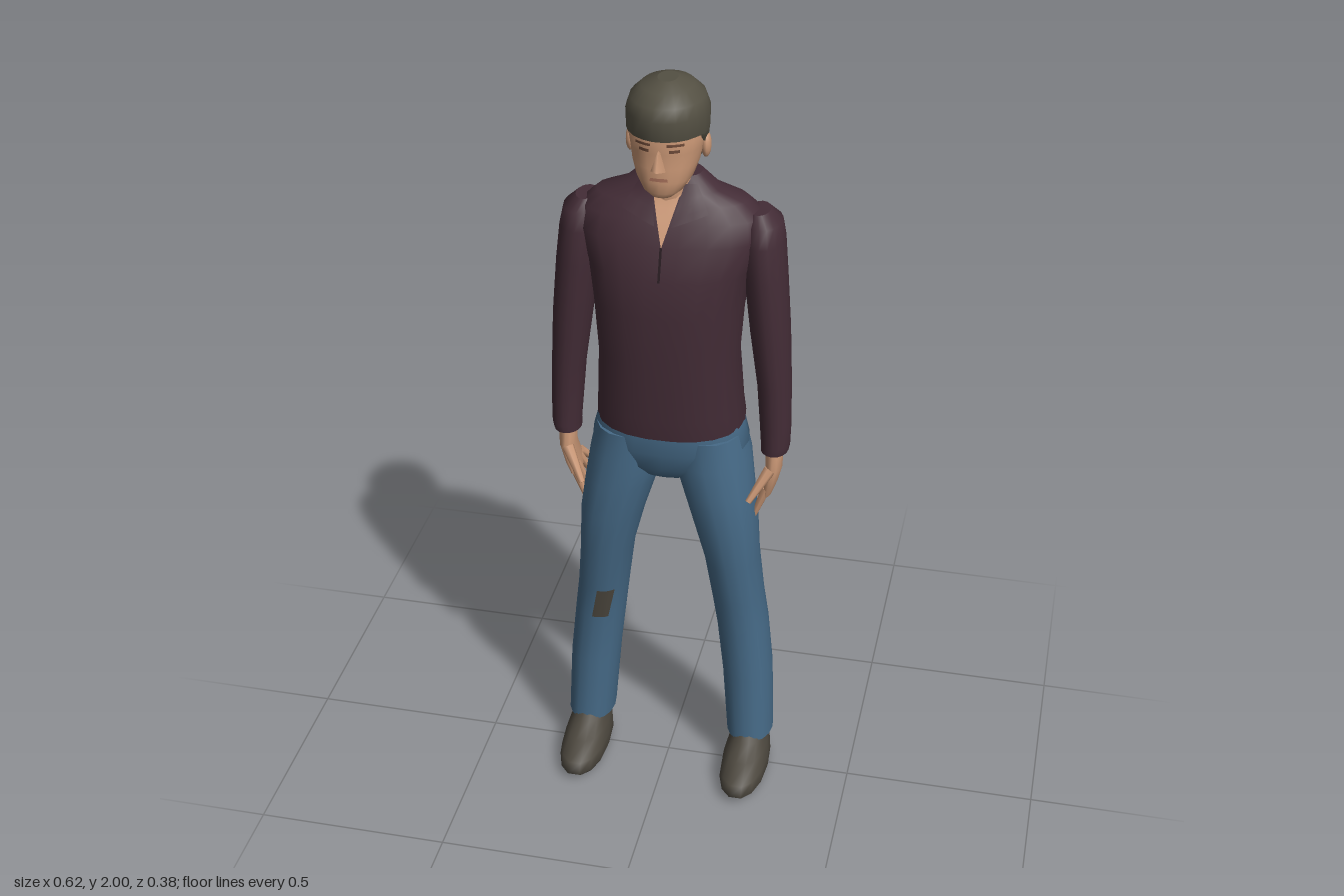
import * as THREE from 'three';

const mat = (name, color) => Object.assign(new THREE.MeshStandardMaterial({ color }), { name });

// Closed skin through horizontal elliptical rings: [y, centreX, halfWidth, frontZ, backZ], bottom to top
function loft(rings, sides = 16, power = 2) {
  const pos = [], idx = [], n = sides;
  const sp = (v) => Math.sign(v) * Math.abs(v) ** (2 / power);
  const addRing = ([y, cx, rx, zf, zb]) => {
    for (let j = 0; j < n; j++) {
      const t = (j / n) * Math.PI * 2;
      pos.push(cx + rx * sp(Math.cos(t)), y, (zf + zb) / 2 + ((zf - zb) / 2) * sp(Math.sin(t)));
    }
  };
  rings.forEach(addRing);
  for (let i = 0; i < rings.length - 1; i++)
    for (let j = 0; j < n; j++) {
      const a = i * n + j, b = i * n + ((j + 1) % n);
      idx.push(a, a + n, b, b, a + n, b + n);
    }
  [rings[0], rings[rings.length - 1]].forEach((r, k) => {
    const s = pos.length / 3;
    addRing(r);
    pos.push(r[1], r[0], (r[3] + r[4]) / 2);
    for (let j = 0; j < n; j++) {
      const a = s + j, b = s + ((j + 1) % n);
      if (k) idx.push(s + n, b, a);
      else idx.push(s + n, a, b);
    }
  });
  const g = new THREE.BufferGeometry();
  g.setAttribute('position', new THREE.Float32BufferAttribute(pos, 3));
  g.setIndex(idx);
  g.computeVertexNormals();
  return g;
}

// Thin patch draped over a mesh; corners run counter-clockwise as seen from the front or from the top
function drape(target, corners, fromTop = false, lift = 0.004, steps = 5) {
  const g = new THREE.PlaneGeometry(1, 1, steps, steps);
  const p = g.attributes.position, ray = new THREE.Raycaster();
  const [a, b, c, d] = corners;
  const dir = fromTop ? new THREE.Vector3(0, -1, 0) : new THREE.Vector3(0, 0, -1);
  for (let i = 0; i < p.count; i++) {
    const u = p.getX(i) + 0.5, v = p.getY(i) + 0.5;
    const at = (k) => (a[k] * (1 - u) + b[k] * u) * (1 - v) + (d[k] * (1 - u) + c[k] * u) * v;
    const o = fromTop ? new THREE.Vector3(at(0), 3, -at(1)) : new THREE.Vector3(at(0), at(1), 1);
    ray.set(o, dir);
    const hit = ray.intersectObject(target)[0];
    const q = hit ? hit.point : o.clone().addScaledVector(dir, 0.98);
    q.addScaledVector(dir, -lift);
    p.setXYZ(i, q.x, q.y, q.z);
  }
  g.computeVertexNormals();
  return g;
}

// Tapered finger between two points
function finger(from, to, r0, r1) {
  const a = new THREE.Vector3(...from), b = new THREE.Vector3(...to), d = b.clone().sub(a);
  const g = new THREE.CylinderGeometry(r1, r0, d.length(), 7);
  g.applyQuaternion(new THREE.Quaternion().setFromUnitVectors(new THREE.Vector3(0, 1, 0), d.normalize()));
  return g.translate(...a.add(b).multiplyScalar(0.5).toArray());
}

export function createModel() {
  const model = new THREE.Group();
  const shirt = mat('shirt', 0x432c36), denim = mat('denim', 0x466a87), skin = mat('skin', 0xcb9876);
  const hairMat = mat('hair', 0x545043), leather = mat('shoe leather', 0x4c473e);
  const brown = mat('brow brown', 0x76503d), lip = mat('lip', 0xa8715b), seam = mat('seam', 0x24171d);
  const add = (name, geometry, material, parent = model) => {
    const m = new THREE.Mesh(geometry, material);
    m.name = name;
    parent.add(m);
    return m;
  };

  // Shirt body
  const torso = add('shirtBody', loft([
    [1.075, 0, 0.188, 0.106, -0.19], [1.13, 0, 0.184, 0.112, -0.172], [1.28, 0, 0.176, 0.118, -0.146],
    [1.42, 0, 0.186, 0.121, -0.15], [1.52, 0, 0.2, 0.112, -0.16], [1.6, 0, 0.232, 0.085, -0.167],
    [1.65, 0, 0.225, 0.058, -0.148], [1.685, 0, 0.185, 0.036, -0.125], [1.71, 0, 0.12, 0.022, -0.105],
    [1.75, 0, 0.074, 0.008, -0.088],
  ], 22, 2.3), shirt);
  add('openNeck', drape(torso, [[0, 1.6], [0.001, 1.6], [0.04, 1.738], [-0.04, 1.738]]), skin);
  add('buttonSeam', drape(torso, [[-0.003, 1.52], [0.003, 1.52], [0.003, 1.6], [-0.003, 1.6]]), seam);
  add('rightShoulderTear', drape(torso, [[-0.16, 0.095], [-0.108, 0.095], [-0.11, 0.115], [-0.135, 0.112]], true), skin);
  add('leftShoulderTear', drape(torso, [[0.13, 0.1], [0.147, 0.098], [0.132, 0.11], [0.115, 0.11]], true), skin);
  add('rightCollar', drape(torso, [[-0.105, 1.675], [-0.02, 1.645], [-0.042, 1.738], [-0.07, 1.735]], false, 0.009), shirt);
  add('leftCollar', drape(torso, [[0.02, 1.645], [0.105, 1.675], [0.07, 1.735], [0.042, 1.738]], false, 0.009), shirt);

  // Jeans seat
  add('jeansSeat', loft([
    [0.935, 0, 0.09, 0.055, -0.1], [0.97, 0, 0.17, 0.08, -0.14], [1.02, 0, 0.202, 0.092, -0.158],
    [1.08, 0, 0.186, 0.1, -0.166], [1.15, 0, 0.165, 0.09, -0.14],
  ], 20, 2.3), denim);

  // Limbs, right then left
  for (const s of [-1, 1]) {
    const side = new THREE.Group();
    side.name = s < 0 ? 'rightLimbs' : 'leftLimbs';
    model.add(side);
    const mirror = (rings) => rings.map(([y, x, ...r]) => [y, x * s, ...r]);
    const pt = ([x, y, z]) => [x * s, y, z];

    add('sleeve', loft(mirror([
      [1.01, 0.268, 0.035, 0.022, -0.068], [1.03, 0.27, 0.037, 0.024, -0.07], [1.09, 0.268, 0.04, 0.022, -0.074],
      [1.2, 0.262, 0.043, 0.027, -0.084], [1.35, 0.248, 0.05, 0.036, -0.095], [1.5, 0.233, 0.053, 0.04, -0.107],
      [1.59, 0.224, 0.053, 0.036, -0.118], [1.635, 0.222, 0.046, 0.022, -0.112], [1.662, 0.212, 0.026, -0.005, -0.088],
    ])), shirt, side);

    add('hand', loft(mirror([
      [0.875, 0.252, 0.013, 0.004, -0.09], [0.91, 0.259, 0.018, 0.014, -0.084],
      [0.96, 0.268, 0.021, 0.02, -0.064], [1.02, 0.268, 0.024, 0.006, -0.05],
    ]), 12), skin, side);
    [[-0.08, -0.12, 0.85], [-0.058, -0.094, 0.822], [-0.03, -0.05, 0.805], [-0.006, -0.006, 0.812]].forEach(([z0, z1, y1], i) =>
      add('finger' + (i + 1), finger(pt([0.253, 0.9, z0]), pt([0.222, y1, z1]), 0.013, 0.007), skin, side));
    add('thumb', finger(pt([0.262, 0.965, 0.01]), pt([0.216, 0.888, 0.052]), 0.016, 0.008), skin, side);

    const leg = add('trouserLeg', loft(mirror([
      [0.1, 0.222, 0.062, 0.045, -0.118], [0.3, 0.21, 0.066, 0.04, -0.128], [0.45, 0.194, 0.067, 0.04, -0.128],
      [0.55, 0.181, 0.067, 0.052, -0.12], [0.68, 0.166, 0.07, 0.074, -0.114], [0.8, 0.148, 0.083, 0.088, -0.112],
      [0.9, 0.126, 0.092, 0.09, -0.13], [0.98, 0.108, 0.099, 0.088, -0.15], [1.06, 0.098, 0.09, 0.085, -0.145],
    ]), 16, 2.2), denim, side);
    if (s < 0)
      add('kneePatch', drape(leg, [[-0.2, 0.455], [-0.158, 0.455], [-0.138, 0.55], [-0.182, 0.55]]), leather, side);

    add('shoe', loft(mirror([
      [0, 0.223, 0.055, 0.165, -0.108], [0.025, 0.223, 0.063, 0.195, -0.115], [0.05, 0.223, 0.061, 0.178, -0.115],
      [0.075, 0.223, 0.054, 0.115, -0.113], [0.1, 0.223, 0.046, 0.06, -0.108], [0.13, 0.222, 0.04, 0.03, -0.09],
    ]), 14, 2.2), leather, side);
  }

  // Neck and head
  add('neck', loft([[1.66, 0, 0.062, 0.03, -0.08], [1.73, 0, 0.056, 0.035, -0.078], [1.82, 0, 0.058, 0.04, -0.075]]), skin);
  const head = add('head', loft([
    [1.733, 0, 0.028, 0.094, 0.03], [1.748, 0, 0.048, 0.105, 0], [1.775, 0, 0.067, 0.108, -0.04],
    [1.81, 0, 0.079, 0.108, -0.07], [1.845, 0, 0.086, 0.105, -0.088], [1.875, 0, 0.09, 0.11, -0.09],
    [1.95, 0, 0.08, 0.1, -0.08],
  ], 20, 2.2), skin);
  const nose = new THREE.ConeGeometry(0.018, 0.055, 4).scale(1, 1, 1.15);
  add('nose', nose.rotateX(-0.18).translate(0, 1.836, 0.109), skin);
  add('mouth', drape(head, [[-0.022, 1.782], [0.022, 1.782], [0.02, 1.79], [-0.02, 1.79]]), lip);
  for (const s of [-1, 1]) {
    const box = (x, y, w, h) => [[x - w, y - h], [x + w, y - h], [x + w, y + h], [x - w, y + h]];
    add('eye', drape(head, box(s * 0.036, 1.857, 0.012, 0.004)), brown);
    add('brow', drape(head, box(s * 0.038, 1.873, 0.019, 0.0035)), brown);
    add('ear', new THREE.SphereGeometry(1, 10, 8).scale(0.012, 0.032, 0.019).translate(s * 0.09, 1.838, 0.002), skin);
  }

  // Hair, with its lower edge falling from the brow to the nape
  const hair = loft([
    [1.785, 0, 0.074, 0.09, -0.085], [1.81, 0, 0.084, 0.1, -0.097], [1.84, 0, 0.092, 0.11, -0.106],
    [1.88, 0, 0.097, 0.117, -0.11], [1.93, 0, 0.098, 0.121, -0.11], [1.96, 0, 0.088, 0.11, -0.097],
    [1.985, 0, 0.062, 0.082, -0.068], [2, 0, 0.024, 0.04, -0.026],
  ], 22);
  const hp = hair.attributes.position;
  for (let i = 0; i < hp.count; i++) {
    const edge = 1.785 + 0.098 * THREE.MathUtils.smoothstep(hp.getZ(i), -0.045, 0.06);
    hp.setY(i, Math.max(hp.getY(i), edge));
  }
  hair.computeVertexNormals();
  add('hair', hair, hairMat);

  return model;
}
